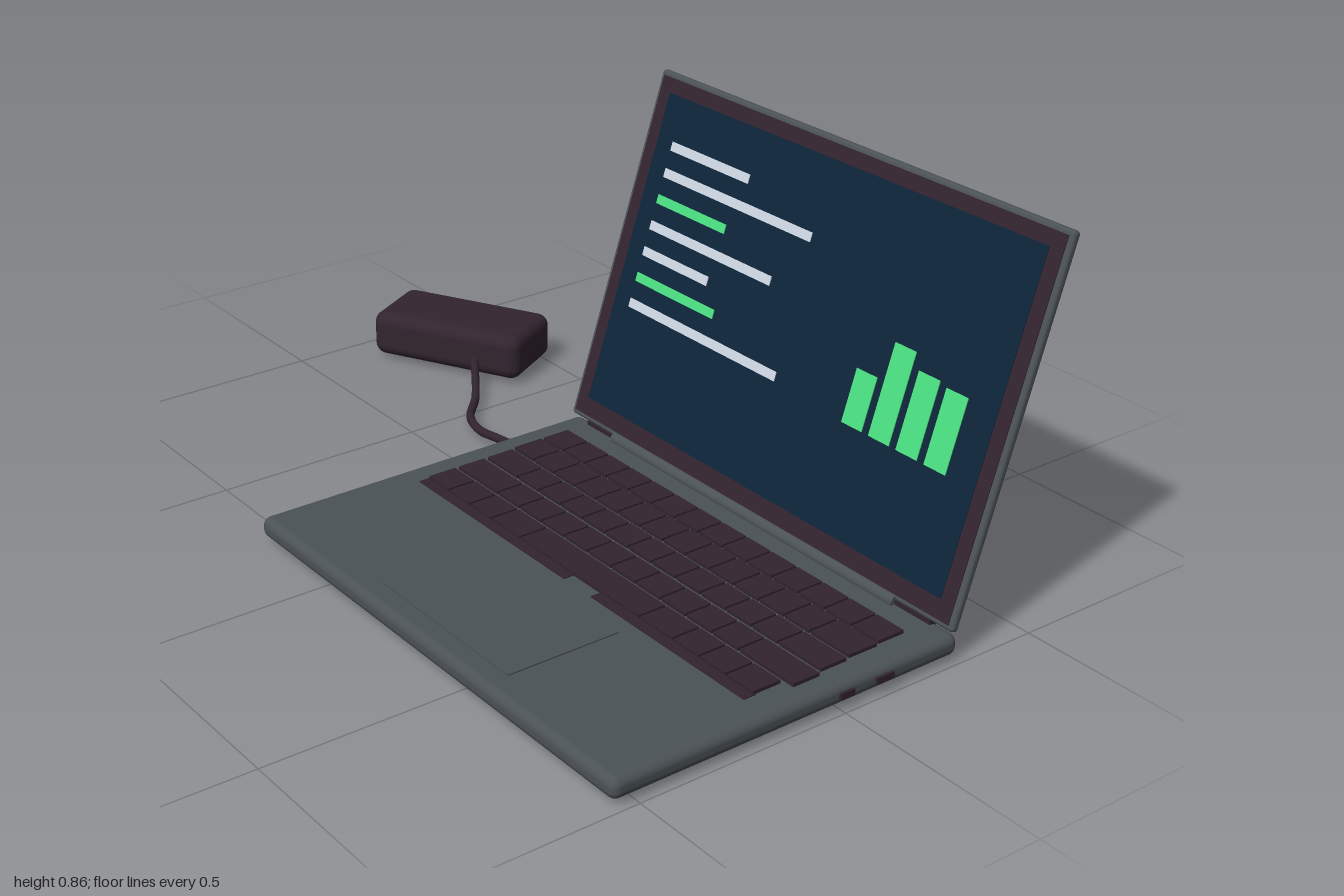
import * as THREE from 'three';
import { RoundedBoxGeometry } from 'three/addons/geometries/RoundedBoxGeometry.js';

const material = (name, color) => {
  const m = new THREE.MeshStandardMaterial({ color });
  m.name = name;
  return m;
};

export function createModel() {
  const casing = material('casing grey', 0x4b5256);
  const dark = material('dark plum', 0x32242f);
  const glass = material('screen navy', 0x0d2438);
  const pale = material('pale text', 0xcbd5e1);
  const green = material('chart green', 0x4ade80);
  const silver = material('badge silver', 0xb4b8c0);
  const rubber = material('rubber', 0x241c22);

  const model = new THREE.Group();
  model.name = 'laptopWithCharger';
  const CX = 0.37; // centre of the laptop across x

  const add = (parent, name, geometry, mat, x, y, z) => {
    const mesh = new THREE.Mesh(geometry, mat);
    mesh.name = name;
    mesh.position.set(x, y, z);
    parent.add(mesh);
    return mesh;
  };
  // Box given by its limits on each axis
  const block = (parent, name, mat, x0, x1, y0, y1, z0, z1) =>
    add(parent, name, new THREE.BoxGeometry(x1 - x0, y1 - y0, z1 - z0), mat,
      (x0 + x1) / 2, (y0 + y1) / 2, (z0 + z1) / 2);

  // Lower body
  add(model, 'base', new RoundedBoxGeometry(1.24, 0.048, 0.865, 4, 0.02), casing, CX, 0.036, 0.1225);
  block(model, 'trackpad', casing, 0.15, 0.59, 0.058, 0.063, 0.23, 0.5);

  // Feet and side ports, mirrored about the laptop's centre line
  for (const side of [-1, 1]) {
    for (const z of [-0.22, 0.47]) {
      add(model, 'foot', new THREE.BoxGeometry(0.19, 0.014, 0.03), rubber, CX + side * 0.42, 0.007, z);
    }
    for (const [z, length] of [[-0.008, 0.036], [-0.107, 0.046]]) {
      add(model, 'port', new THREE.BoxGeometry(0.012, 0.015, length), dark, CX + side * 0.62, 0.036, z);
    }
  }

  // Keyboard: each row is z start, z end, x start, x end, relative key widths
  const keyboard = new THREE.Group();
  keyboard.name = 'keyboard';
  model.add(keyboard);
  const equal = n => Array(n).fill(1);
  const rows = [
    [-0.222, -0.155, -0.185, 0.925, equal(14)],
    [-0.146, -0.072, -0.185, 0.93, [...equal(13), 1.5]],
    [-0.061, 0.006, -0.18, 0.935, [1.5, ...equal(11), 1.6]],
    [0.018, 0.085, -0.18, 0.945, [1.9, ...equal(10), 2]],
    [0.096, 0.165, -0.18, 0.92, [1, 1, 1, 1.3, 5, 1.3, 1, 1, 1]],
  ];
  const gap = 0.006;
  for (const [z0, z1, x0, x1, widths] of rows) {
    const unit = (x1 - x0) / widths.reduce((a, b) => a + b, 0);
    let x = x0;
    for (const w of widths) {
      block(keyboard, 'key', dark, x + gap / 2, x + w * unit - gap / 2, 0.058, 0.068, z0, z1);
      x += w * unit;
    }
  }
  block(keyboard, 'keyboardTrimLeft', dark, -0.18, 0.355, 0.057, 0.062, 0.16, 0.19);
  block(keyboard, 'keyboardTrimRight', dark, 0.445, 0.92, 0.057, 0.062, 0.16, 0.19);

  // Hinge
  const barrel = new THREE.CylinderGeometry(0.016, 0.016, 0.92, 20).rotateZ(Math.PI / 2);
  add(model, 'hingeBarrel', barrel, casing, CX, 0.064, -0.291);
  block(model, 'hingeBar', dark, -0.19, 0.93, 0.056, 0.07, -0.302, -0.286);

  // Lid, leaning back from the hinge
  const lid = new THREE.Group();
  lid.name = 'lid';
  lid.position.set(CX, 0.067, -0.294);
  lid.rotation.x = -0.31;
  model.add(lid);
  add(lid, 'lidShell', new RoundedBoxGeometry(1.24, 0.83, 0.02, 3, 0.008), casing, 0, 0.415, 0);
  block(lid, 'bezel', dark, -0.608, 0.608, 0.012, 0.818, 0.008, 0.012);
  block(lid, 'display', glass, -0.573, 0.573, 0.053, 0.785, 0.01, 0.0135);

  // Items on the display, in upright x and y heights
  const item = (name, mat, x0, x1, y0, y1) => {
    const up = y => (y - 0.07) / 0.952;
    block(lid, name, mat, x0 - CX, x1 - CX, up(y0), up(y1), 0.0125, 0.0155);
  };
  [0.115, 0.34, 0.085, 0.26, 0.075, 0.12, 0.35].forEach((end, i) => {
    const y = 0.712 - i * 0.0587;
    item('textLine', i === 2 || i === 5 ? green : pale, -0.15, end, y - 0.01, y + 0.01);
  });
  [0.453, 0.533, 0.502, 0.495].forEach((top, i) => {
    const x = 0.565 + i * 0.08;
    item('chartBar', green, x, x + 0.06, 0.34, top);
  });

  // Plain round badge on the back of the lid
  add(lid, 'backBadge', new THREE.CylinderGeometry(0.063, 0.063, 0.006, 40).rotateX(Math.PI / 2),
    silver, 0, 0.415, -0.0105);

  // Power brick and its cable
  const brick = add(model, 'powerBrick', new RoundedBoxGeometry(0.405, 0.114, 0.2, 5, 0.03),
    dark, -0.783, 0.065, -0.34);
  brick.rotation.y = 0.49;
  const path = new THREE.CatmullRomCurve3([
    [-0.7, 0.055, -0.32], [-0.64, 0.045, -0.28], [-0.53, 0.022, -0.205], [-0.45, 0.02, -0.135],
    [-0.37, 0.025, -0.107], [-0.3, 0.034, -0.105], [-0.24, 0.04, -0.107],
  ].map(p => new THREE.Vector3(...p)));
  add(model, 'cable', new THREE.TubeGeometry(path, 48, 0.01, 10), dark, 0, 0, 0);

  return model;
}
